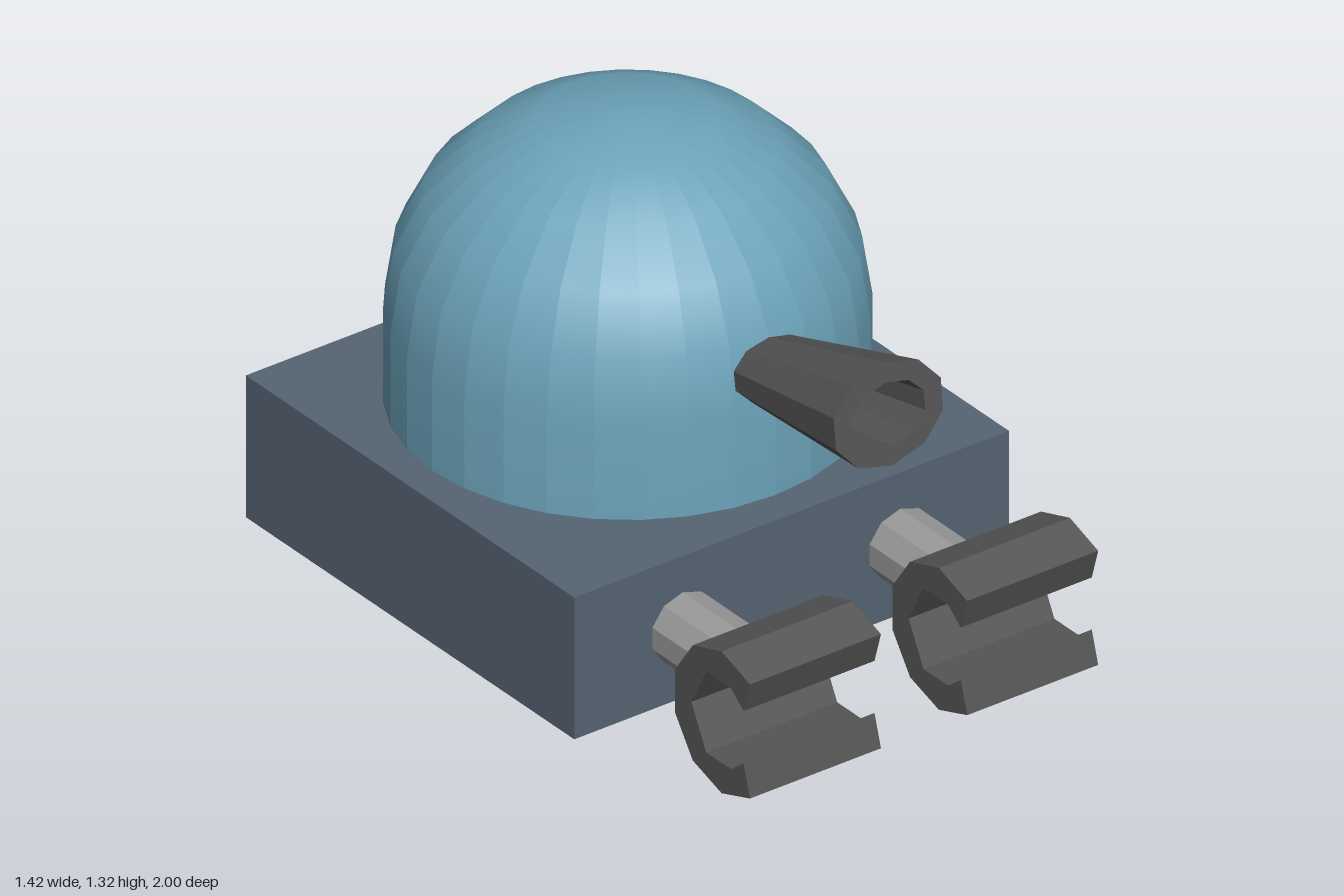
import * as THREE from 'three';

const paint = (color, extra = {}) => new THREE.MeshStandardMaterial({ color, ...extra });

function addMesh(parent, name, geometry, material, x = 0, y = 0, z = 0) {
  const mesh = new THREE.Mesh(geometry, material);
  mesh.name = name;
  mesh.position.set(x, y, z);
  parent.add(mesh);
  return mesh;
}

// Dome: smooth from bottom to top, faceted around its axis
function domeGeometry(sides) {
  const profile = [[0, 0.455], [0.64, 0.455], [0.64, 0.455], [0.64, 0.74], [0.612, 0.92],
    [0.532, 1.08], [0.403, 1.205], [0.24, 1.29], [0.06, 1.317], [0, 1.317]];
  const geo = new THREE.LatheGeometry(profile.map(p => new THREE.Vector2(...p)), sides).toNonIndexed();
  const pos = geo.attributes.position, nor = geo.attributes.normal;
  const a = new THREE.Vector3(), n = new THREE.Vector3();
  for (let i = 0; i < pos.count; i += 3) {
    // direction of the facet this triangle belongs to
    const mid = new THREE.Vector3();
    for (let k = 0; k < 3; k++) mid.add(a.fromBufferAttribute(pos, i + k));
    const step = 2 * Math.PI / sides;
    const angle = (Math.floor(Math.atan2(mid.x, mid.z) / step) + 0.5) * step;
    const underside = mid.y / 3 < 0.456;
    for (let k = 0; k < 3; k++) {
      n.fromBufferAttribute(nor, i + k);
      a.fromBufferAttribute(pos, i + k);
      let ny = underside ? -1 : Math.max(n.y, 0);
      if (!underside && a.y < 0.5) ny = 0;
      if (a.y > 1.316 && Math.hypot(a.x, a.z) < 0.01) ny = 1;
      const h = Math.sqrt(Math.max(0, 1 - ny * ny));
      nor.setXYZ(i + k, h * Math.sin(angle), ny, h * Math.cos(angle));
    }
  }
  return geo;
}

// One ten-sided cross-section of the barrel; t runs from muzzle (0) to dome (1)
function barrelRing(t, rx, ry) {
  return Array.from({ length: 10 }, (_, i) => {
    const a = i * Math.PI / 5;
    return [rx * Math.sin(a), 0.9325 - 0.1025 * t + ry * Math.cos(a),
      0.845 - 0.51 * t - 0.11 * ry * Math.cos(a)];
  });
}

// Skin a list of cross-sections
function loft(rings) {
  const out = [];
  for (let r = 0; r < rings.length - 1; r++) {
    const p = rings[r], q = rings[r + 1];
    for (let i = 0; i < p.length; i++) {
      const j = (i + 1) % p.length;
      out.push(...p[i], ...q[i], ...q[j], ...p[i], ...q[j], ...p[j]);
    }
  }
  const geo = new THREE.BufferGeometry();
  geo.setAttribute('position', new THREE.Float32BufferAttribute(out, 3));
  geo.computeVertexNormals();
  return geo;
}

// C-shaped clamp outline, drawn in (z, y) and extruded along x
function clampGeometry(width) {
  const upper = [[0.675, 0.281], [0.752, 0.39], [0.877, 0.43], [1.0, 0.388],
    [0.972, 0.294], [0.917, 0.338], [0.81, 0.338]];
  const lower = upper.map(([z, y]) => [z, 0.43 - y]).reverse();
  const outline = [...upper, [0.746, 0.215], ...lower];
  const shape = new THREE.Shape(outline.map(([z, y]) => new THREE.Vector2(-z, y)));
  const geo = new THREE.ExtrudeGeometry(shape, { depth: width, bevelEnabled: false });
  return geo.translate(0, 0, -width / 2).rotateY(Math.PI / 2);
}

export function createModel() {
  const model = new THREE.Group();
  const darkGrey = paint(0x555555, { flatShading: true });
  const midGrey = paint(0x999999, { flatShading: true });

  // Body
  addMesh(model, 'base', new THREE.BoxGeometry(1.42, 0.43, 1.425), paint(0x566472), 0, 0.215, -0.2875);
  addMesh(model, 'dome', domeGeometry(32), paint(0x6ca3ba), 0, 0, -0.285);

  // Flared hollow barrel rising out of the dome
  const bore = barrelRing(0.75, 0.112, 0.08);
  addMesh(model, 'barrel', loft([
    barrelRing(1.2, 0.108, 0.078),
    barrelRing(0, 0.184, 0.149),
    barrelRing(0, 0.124, 0.091),
    bore,
  ]), darkGrey);
  addMesh(model, 'barrelFloor', loft([bore, barrelRing(0.75, 0, 0)]), paint(0xcccccc, { flatShading: true }));

  // Pair of arms with clamps
  for (const side of [1, -1]) {
    const arm = new THREE.Group();
    arm.name = side > 0 ? 'leftArm' : 'rightArm';
    arm.position.x = side * 0.355;
    const rod = new THREE.CylinderGeometry(0.105, 0.105, 0.33, 10).rotateX(Math.PI / 2);
    addMesh(arm, 'rod', rod, midGrey, 0, 0.215, 0.565);
    addMesh(arm, 'clamp', clampGeometry(0.428), darkGrey);
    model.add(arm);
  }
  return model;
}
